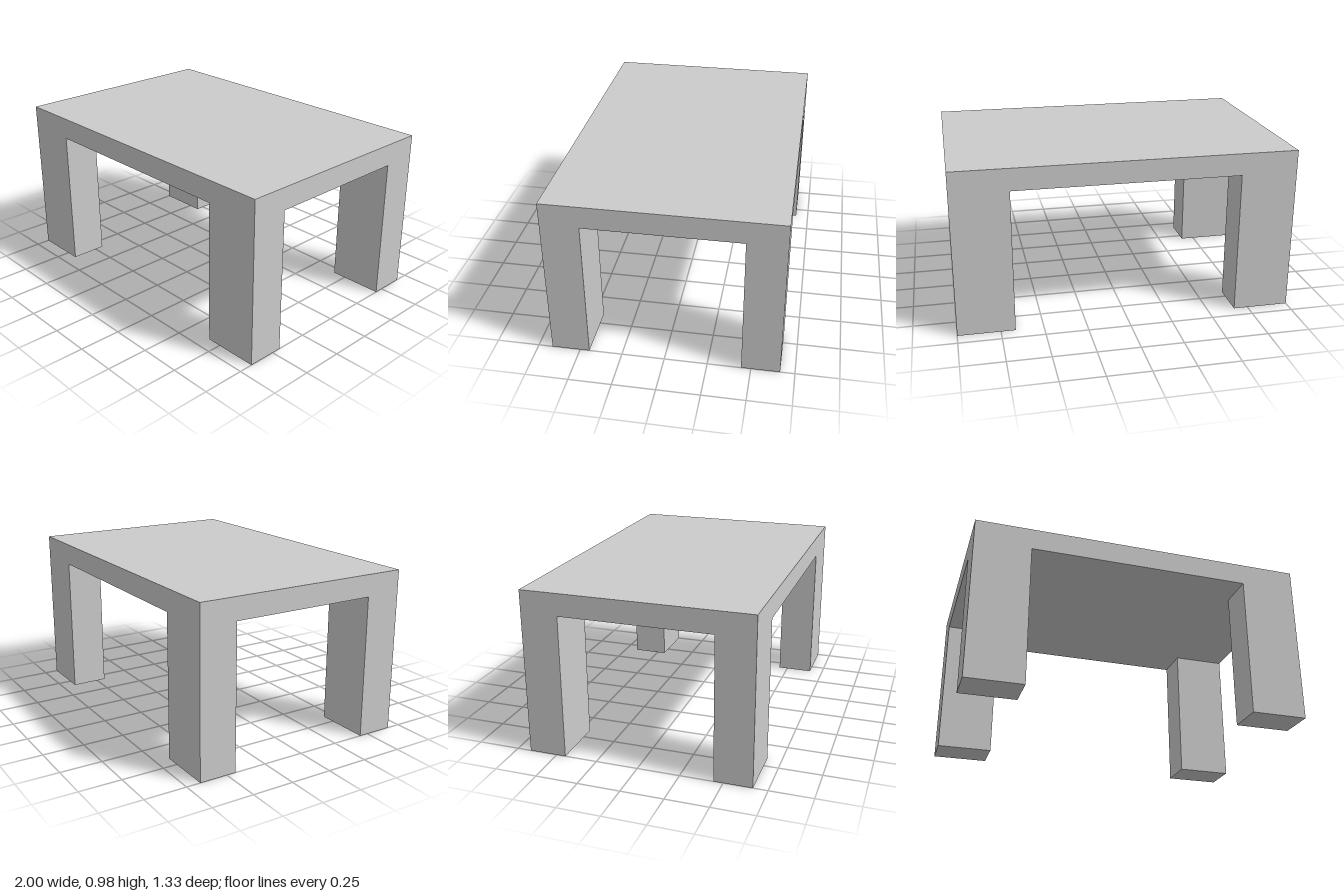
import * as THREE from 'three';

const WIDTH = 2, DEPTH = 1.333, HEIGHT = 0.984;
const LEG_HEIGHT = 0.853, LEG_WIDTH = 0.335, LEG_DEPTH = 0.222;

export function createModel() {
  const table = new THREE.Group();
  table.name = 'table';
  const material = new THREE.MeshStandardMaterial({ color: 0xcccccc });

  // Flat slab across the whole footprint
  const thickness = HEIGHT - LEG_HEIGHT;
  const top = new THREE.Mesh(new THREE.BoxGeometry(WIDTH, thickness, DEPTH), material);
  top.name = 'tableTop';
  top.position.y = LEG_HEIGHT + thickness / 2;
  table.add(top);

  // Four legs, flush with the corners of the slab
  const legGeometry = new THREE.BoxGeometry(LEG_WIDTH, LEG_HEIGHT, LEG_DEPTH);
  for (const [side, sx] of [['Left', 1], ['Right', -1]]) {
    for (const [end, sz] of [['front', 1], ['back', -1]]) {
      const leg = new THREE.Mesh(legGeometry, material);
      leg.name = `${end}${side}Leg`;
      leg.position.set(sx * (WIDTH - LEG_WIDTH) / 2, LEG_HEIGHT / 2, sz * (DEPTH - LEG_DEPTH) / 2);
      table.add(leg);
    }
  }
  return table;
}
